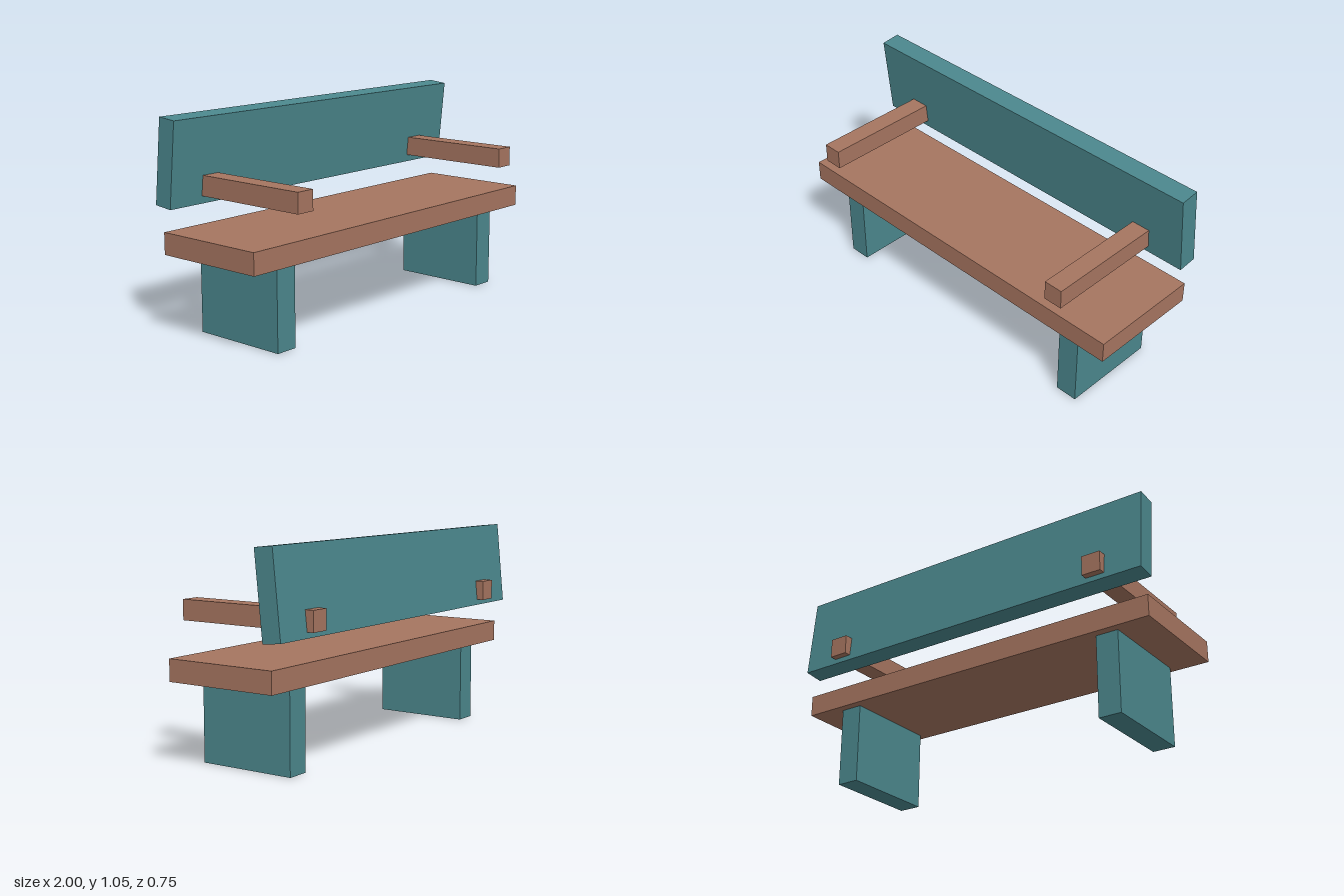
import * as THREE from 'three';

export function createModel() {
  const bench = new THREE.Group();
  bench.name = 'bench';

  const teal = new THREE.MeshStandardMaterial({ color: 0x4b878d });
  teal.name = 'teal paint';
  const wood = new THREE.MeshStandardMaterial({ color: 0xa67560 });
  wood.name = 'brown wood';

  function box(name, material, [w, h, d], [x, y, z]) {
    const mesh = new THREE.Mesh(new THREE.BoxGeometry(w, h, d), material);
    mesh.name = name;
    mesh.position.set(x, y, z);
    bench.add(mesh);
    return mesh;
  }

  // Seat plank
  box('seat', wood, [2, 0.107, 0.586], [0, 0.459, 0]);

  // Backrest board, its top tipped slightly forward
  const backrest = box('backrest', teal, [2, 0.416, 0.099], [0, 0.835, -0.274]);
  backrest.rotation.x = 0.1;

  // Slab legs, and armrests that pass through the backrest
  for (const [side, s] of [['left', 1], ['right', -1]]) {
    box(side + 'Leg', teal, [0.115, 0.406, 0.502], [s * 0.76, 0.203, 0]);
    box(side + 'Armrest', wood, [0.097, 0.099, 0.752], [s * 0.76, 0.71, 0]);
  }

  return bench;
}
